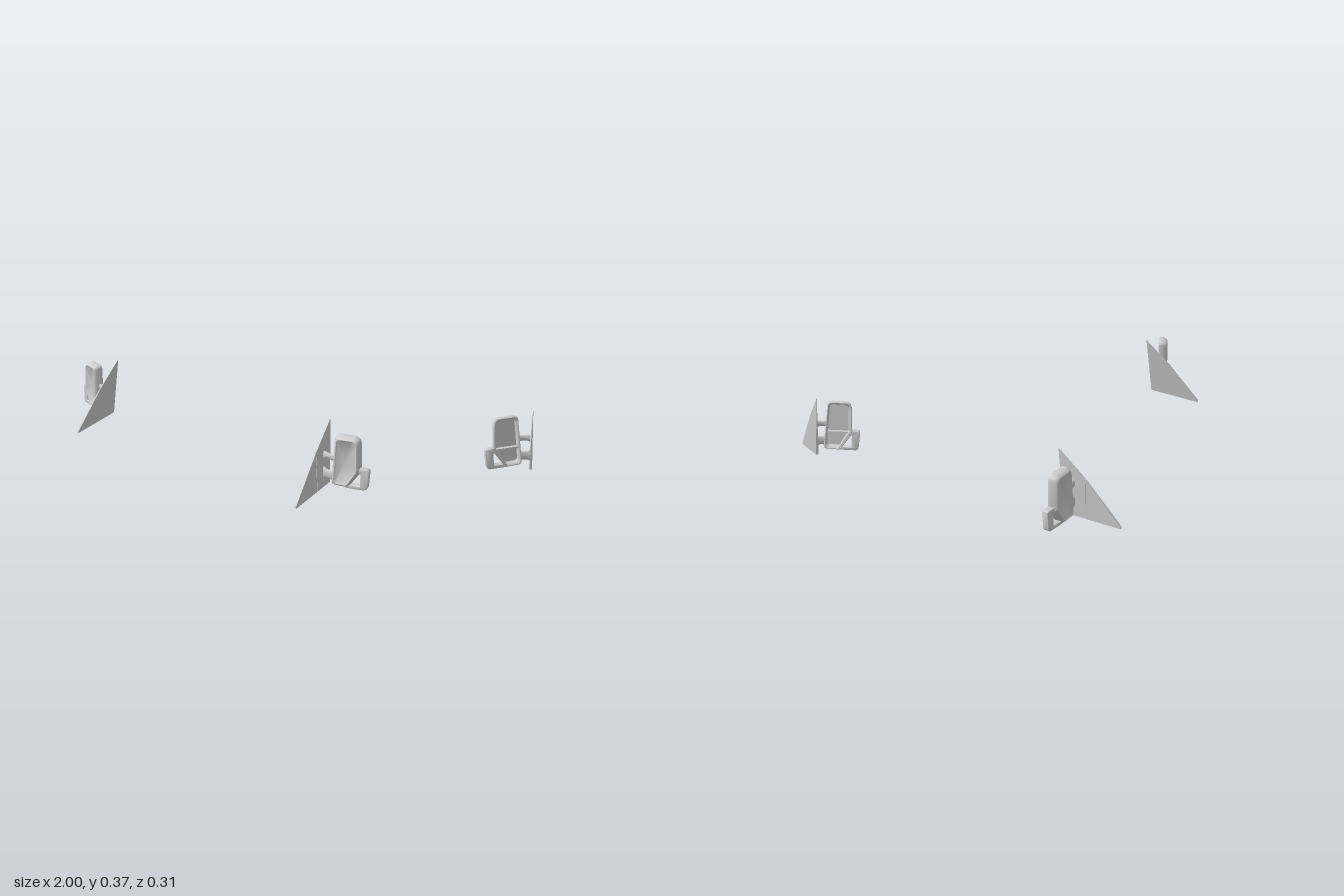
import * as THREE from 'three';
import { toCreasedNormals } from 'three/addons/utils/BufferGeometryUtils.js';

const material = new THREE.MeshStandardMaterial({ color: 0xcccccc, side: THREE.DoubleSide });

function add(parent, name, geometry, crease = 0.6) {
  const mesh = new THREE.Mesh(toCreasedNormals(geometry, crease), material);
  mesh.name = name;
  parent.add(mesh);
  return mesh;
}

// Polygon with rounded corners; each point is [x, y, radius]
function roundedPath(points, PathType = THREE.Shape) {
  const path = new PathType();
  const n = points.length;
  points.forEach(([x, y, r], i) => {
    const corner = new THREE.Vector2(x, y);
    const toward = ([px, py]) =>
      new THREE.Vector2(px, py).sub(corner).setLength(r).add(corner);
    const a = toward(points[(i + n - 1) % n]);
    const b = toward(points[(i + 1) % n]);
    if (i === 0) path.moveTo(a.x, a.y);
    else path.lineTo(a.x, a.y);
    path.quadraticCurveTo(x, y, b.x, b.y);
  });
  path.closePath();
  return path;
}

// Skin through inset copies of an outline, closed at both ends; rings are [inset, depth]
function loftInsets(outline, center, half, rings) {
  const pos = [], index = [], n = outline.length;
  for (const [inset, depth] of rings) {
    for (const p of outline) {
      pos.push(
        center.x + (p.x - center.x) * (1 - inset / half.x),
        center.y + (p.y - center.y) * (1 - inset / half.y),
        depth);
    }
  }
  for (let r = 0; r < rings.length - 1; r++) {
    for (let i = 0; i < n; i++) {
      const j = (i + 1) % n;
      const a = r * n + i, b = r * n + j, c = a + n, d = b + n;
      index.push(a, b, d, a, d, c);
    }
  }
  const last = (rings.length - 1) * n;
  const back = pos.length / 3, front = back + 1;
  pos.push(center.x, center.y, rings[0][1]);
  pos.push(center.x, center.y, rings[rings.length - 1][1] - 0.002);
  for (let i = 0; i < n; i++) {
    const j = (i + 1) % n;
    index.push(back, j, i, front, last + i, last + j);
  }
  const geometry = new THREE.BufferGeometry();
  geometry.setAttribute('position', new THREE.Float32BufferAttribute(pos, 3));
  geometry.setIndex(index);
  return geometry;
}

// Leaning panel, drawn in (-z, y), thinner toward the top
function platePanel(points, thickness) {
  const shape = new THREE.Shape(points.map(([s, y]) => new THREE.Vector2(s, y)));
  const geometry = new THREE.ExtrudeGeometry(shape, { depth: 1, bevelEnabled: false });
  geometry.rotateY(Math.PI / 2);
  const p = geometry.attributes.position;
  for (let i = 0; i < p.count; i++) {
    const y = p.getY(i), taper = 1 - y / 0.42;
    const wide = 0.6 + 0.4 * THREE.MathUtils.clamp((0.16 - p.getZ(i)) / 0.3, 0, 1);
    p.setX(i, 0.761 - 0.064 * y + p.getX(i) * thickness * taper * wide);
  }
  return geometry;
}

function mirrorAssembly() {
  const side = new THREE.Group();

  // Triangular mounting plate: two panels with a seam over a thin backing
  add(side, 'platePanelFront', platePanel(
    [[-0.158, 0.002], [0.019, 0.030], [0.019, 0.232], [-0.157, 0.014]], 0.016), 0.3);
  add(side, 'platePanelRear', platePanel(
    [[0.022, 0.0305], [0.13, 0.048], [0.157, 0.375], [0.022, 0.235]], 0.016), 0.3);
  add(side, 'plateBacking', platePanel(
    [[-0.15, 0.005], [0.129, 0.049], [0.156, 0.37], [0.02, 0.228]], 0.011), 0.3);

  // Two short flattened arms with feet against the plate
  for (const [name, y, height] of [['upperArm', 0.208, 0.017], ['lowerArm', 0.112, 0.026]]) {
    const arm = new THREE.LatheGeometry([
      [0, 0], [1.25, 0], [1.2, 0.008], [0.95, 0.018], [0.9, 0.04], [1.05, 0.062], [0, 0.062],
    ].map(([r, h]) => new THREE.Vector2(r, h)), 24);
    arm.scale(height, 1, 0.009);
    arm.rotateZ(-Math.PI / 2);
    arm.translate(0.76, y, -0.083);
    add(side, name, arm);
  }

  // Head, turned so its outer end lies further back
  const head = new THREE.Group();
  head.name = 'mirrorHead';
  head.position.set(0.815, 0, -0.072);
  head.rotation.y = 0.28;
  side.add(head);

  // Hollow housing with a clipped lower outer corner and a dished front
  const outline = roundedPath([
    [0, 0.068, 0.022], [0.088, 0.066, 0.012], [0.147, 0.155, 0.014],
    [0.136, 0.335, 0.036], [0.008, 0.335, 0.024],
  ]).getPoints(8).slice(0, -1);
  add(head, 'housing', loftInsets(outline,
    new THREE.Vector2(0.07, 0.2), new THREE.Vector2(0.073, 0.134), [
      [0.018, 0.002], [0.014, -0.022], [0.010, -0.028], [0.005, -0.030], [0.001, -0.027],
      [0, -0.022], [0.001, -0.004], [0.005, 0.009], [0.010, 0.018], [0.014, 0.022],
      [0.017, 0.023], [0.020, 0.021], [0.024, 0.018],
    ]), 0.75);

  // Open frame around the clipped corner
  const frame = roundedPath([
    [0.080, 0.070, 0.004], [0.182, 0.070, 0.016], [0.186, 0.171, 0.010], [0.136, 0.174, 0.004],
  ]);
  frame.holes.push(roundedPath([
    [0.090, 0.080, 0.003], [0.136, 0.155, 0.005], [0.152, 0.152, 0.008], [0.152, 0.080, 0.008],
  ], THREE.Path));
  const frameGeometry = new THREE.ExtrudeGeometry(frame, {
    depth: 0.030, bevelThickness: 0.004, bevelSize: 0.004, bevelSegments: 3, curveSegments: 8,
  });
  // Draw the outer end in a little so the frame tapers in depth
  const p = frameGeometry.attributes.position;
  for (let i = 0; i < p.count; i++) {
    const t = THREE.MathUtils.clamp((p.getX(i) - 0.08) / 0.11, 0, 1);
    p.setZ(i, -0.025 + p.getZ(i) * (1.05 - 0.15 * t));
  }
  add(head, 'cornerFrame', frameGeometry, 0.75);

  // Bar dividing the rear opening
  const bar = new THREE.BoxGeometry(0.136, 0.010, 0.024);
  bar.translate(0.072, 0.163, -0.012);
  add(head, 'dividerBar', bar);

  // Upper glass set into the recess
  const glass = roundedPath([
    [0.020, 0.172, 0.004], [0.128, 0.172, 0.004], [0.119, 0.315, 0.025], [0.022, 0.315, 0.018],
  ]);
  const glassGeometry = new THREE.ExtrudeGeometry(glass, {
    depth: 0.004, bevelEnabled: false, curveSegments: 8,
  });
  glassGeometry.translate(0, 0, -0.003);
  add(head, 'mirrorGlass', glassGeometry);

  return side;
}

export function createModel() {
  const model = new THREE.Group();
  model.name = 'sideMirrors';
  const left = mirrorAssembly();
  left.name = 'leftMirror';
  const right = mirrorAssembly();
  right.name = 'rightMirror';
  right.scale.x = -1;
  model.add(left, right);
  return model;
}
